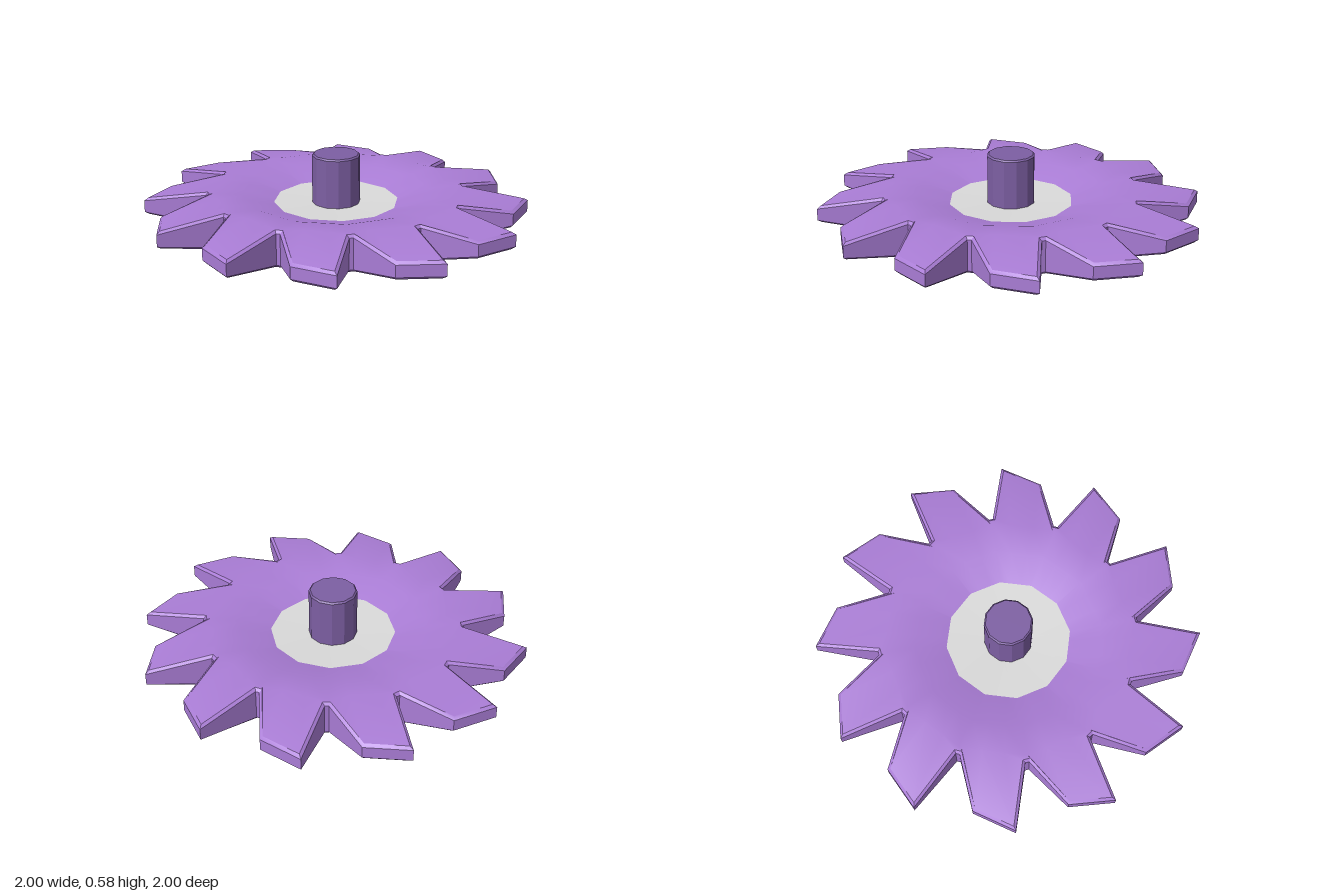
import * as THREE from 'three';
import { toCreasedNormals } from 'three/addons/utils/BufferGeometryUtils.js';

const TEETH = 12, MID = 0.29, BEVEL = 0.014, CREASE = 0.5;
const V2 = (x, y) => new THREE.Vector2(x, y);

const purple = new THREE.MeshStandardMaterial({ color: 0xaa7dd6 });
purple.name = 'lightPurple';
const darkPurple = new THREE.MeshStandardMaterial({ color: 0x7d5fa3 });
darkPurple.name = 'darkPurple';
const white = new THREE.MeshStandardMaterial({ color: 0xdadada });
white.name = 'paleGrey';

// Repeats one sector's [x, z, halfHeight] points all round the wheel
function repeatSector(points) {
  const ring = [];
  for (let k = 0; k < TEETH; k++) {
    const a = (k / TEETH) * Math.PI * 2, c = Math.cos(a), s = Math.sin(a);
    for (const [x, z, h] of points) ring.push([x * c - z * s, x * s + z * c, h]);
  }
  return ring;
}

// Twelve-sided ring whose points lie along the chords of each sector
function polygonRing(r, h) {
  const a = Math.PI * 2 / TEETH;
  return repeatSector([0.02, 0.33, 0.67, 0.98].map(t =>
    [t * r * Math.sin(a), -r * (1 - t + t * Math.cos(a)), h]));
}

// Shrinks an outline evenly by d
function inset(ring, d) {
  const n = ring.length;
  const normal = (p, q) => V2(p[1] - q[1], q[0] - p[0]).normalize();
  return ring.map((p, i) => {
    const n1 = normal(ring[(i + n - 1) % n], p), n2 = normal(p, ring[(i + 1) % n]);
    const m = n1.clone().add(n2).multiplyScalar(d / (1 + n1.dot(n2)));
    return [p[0] + m.x, p[1] + m.y, p[2]];
  });
}

// Skins rings from the upper inner edge, over the teeth, to the lower inner edge
function wheelGeometry() {
  const outline = repeatSector([
    [0.01, -0.678, 0.095], [0.102, -1.0, 0.045], [0.302, -0.872, 0.045], [0.329, -0.59, 0.095],
  ]);
  const upper = [
    polygonRing(0.325, 0.036),
    polygonRing(0.49, 0.08),
    polygonRing(0.645, 0.095),
    inset(outline, BEVEL),
    outline.map(([x, z, h]) => [x, z, h - BEVEL]),
  ];
  const lower = upper.map(ring => ring.map(([x, z, h]) => [x, z, -h])).reverse();
  const rings = [...upper, ...lower], n = outline.length;
  const positions = [], index = [];
  for (const ring of rings) for (const [x, z, h] of ring) positions.push(x, MID + h, z);
  for (let j = 0; j < rings.length - 1; j++) {
    for (let i = 0; i < n; i++) {
      const a = j * n + i, b = j * n + (i + 1) % n;
      index.push(a, b, a + n, b, b + n, a + n);
    }
  }
  const geo = new THREE.BufferGeometry();
  geo.setAttribute('position', new THREE.Float32BufferAttribute(positions, 3));
  geo.setIndex(index);
  return toCreasedNormals(geo, CREASE);
}

// Twelve-sided turned part
function turned(profile) {
  return toCreasedNormals(new THREE.LatheGeometry(profile.map(p => V2(...p)), TEETH), CREASE);
}

export function createModel() {
  const group = new THREE.Group();
  group.name = 'toothedWheel';
  const add = (name, geo, mat) => {
    const mesh = new THREE.Mesh(geo, mat);
    mesh.name = name;
    group.add(mesh);
  };

  add('toothedRim', wheelGeometry(), purple);

  // Recessed hub plate, slightly dished on both sides
  add('hubPlate', turned([
    [0.1, MID - 0.028], [0.325, MID - 0.036], [0.325, MID + 0.036], [0.1, MID + 0.028],
  ]), white);

  // Axle with small chamfers at the ends
  add('axle', turned([
    [0, 0], [0.117, 0], [0.125, 0.008], [0.125, 0.572], [0.117, 0.58], [0, 0.58],
  ]), darkPurple);

  return group;
}
